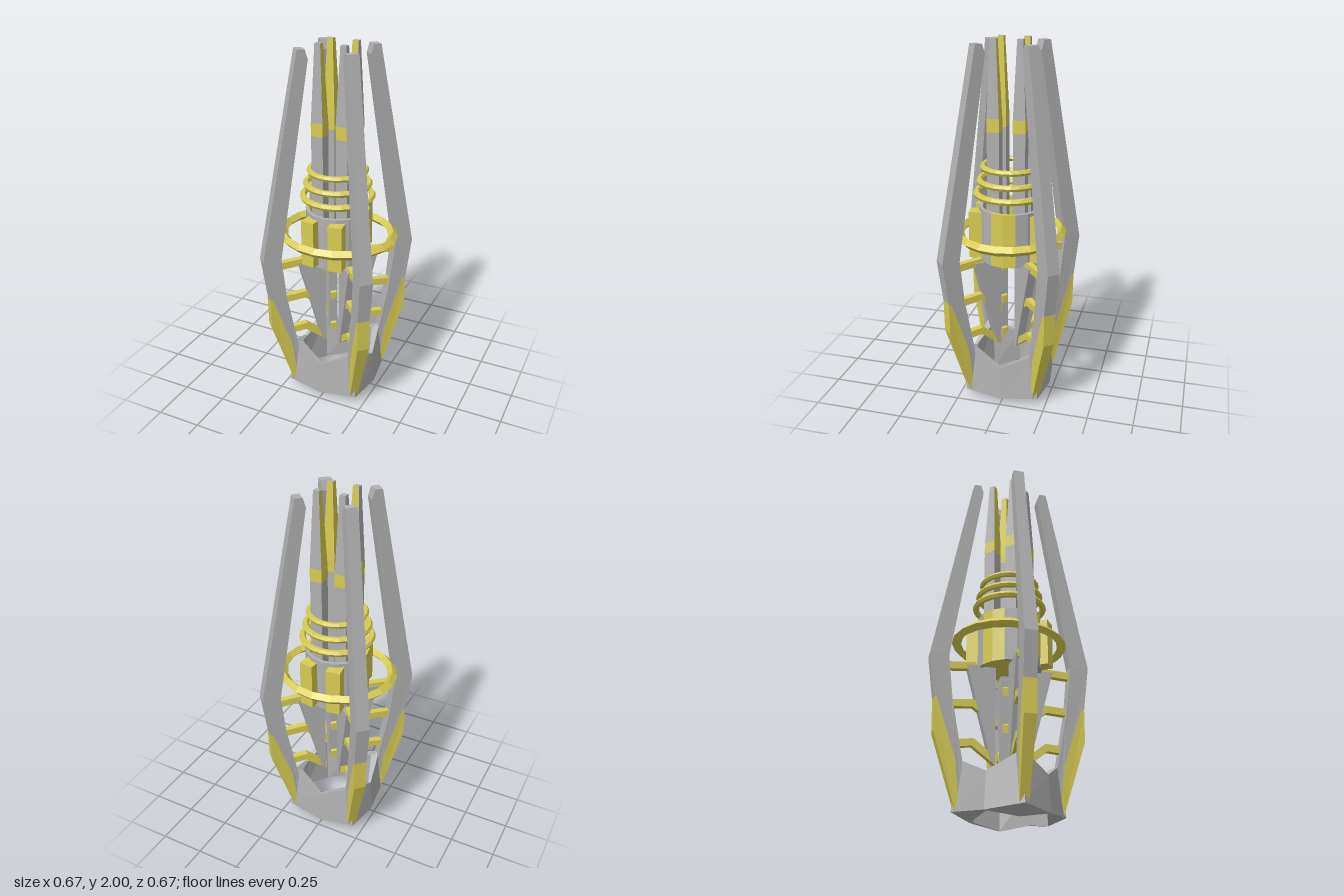
import * as THREE from 'three';

const grey = new THREE.MeshStandardMaterial({ color: 0xb0b0b0 });
grey.name = 'hull grey';
const yellow = new THREE.MeshStandardMaterial({ color: 0xd6cc52 });
yellow.name = 'trim yellow';

// Gives every face its own flat normal
function faceted(geometry) {
  const g = geometry.index ? geometry.toNonIndexed() : geometry;
  g.computeVertexNormals();
  return g;
}

function part(name, geometry, material, parent) {
  const mesh = new THREE.Mesh(faceted(geometry), material);
  mesh.name = name;
  parent.add(mesh);
  return mesh;
}

// Plate from a (radius, height) outline; its width may change with height
function plate(points, widthAt) {
  const shape = new THREE.Shape(points.map(([r, y]) => new THREE.Vector2(r, y)));
  const g = new THREE.ExtrudeGeometry(shape, { depth: 1, bevelEnabled: false });
  g.translate(0, 0, -0.5);
  const p = g.attributes.position;
  for (let i = 0; i < p.count; i++) p.setZ(i, p.getZ(i) * widthAt(p.getY(i)));
  return g;
}

function armWidth(y) {
  const l = THREE.MathUtils.mapLinear;
  if (y < 0.44) return l(y, 0.04, 0.44, 0.046, 0.066);
  if (y < 0.86) return l(y, 0.44, 0.86, 0.066, 0.072);
  return l(y, 0.86, 1.98, 0.072, 0.06);
}

// Eight-sided open collar; each ring is [mid radius, mid y, corner radius, corner y]
function collarGeometry() {
  const rings = [
    [0.235, 0.03, 0.295, 0.045],
    [0.222, 0.22, 0.265, 0.31],
    [0.205, 0.22, 0.215, 0.29],
    [0.212, 0.03, 0.2, 0.0],
  ];
  const pos = [], idx = [];
  for (const [mr, my, cr, cy] of rings) {
    for (let i = 0; i < 8; i++) {
      const a = i * Math.PI / 4, corner = i % 2 === 1;
      const r = corner ? cr : mr;
      pos.push(r * Math.sin(a), corner ? cy : my, r * Math.cos(a));
    }
  }
  for (let k = 0; k < 4; k++) {
    for (let i = 0; i < 8; i++) {
      const j = (i + 1) % 8, n = (k + 1) % 4;
      const a = k * 8 + i, b = k * 8 + j, c = n * 8 + j, d = n * 8 + i;
      idx.push(a, b, c, a, c, d);
    }
  }
  const g = new THREE.BufferGeometry();
  g.setAttribute('position', new THREE.Float32BufferAttribute(pos, 3));
  g.setIndex(idx);
  return g;
}

// Curved outer arm with its yellow lower guard
function addArm(quadrant) {
  const arm = new THREE.Group();
  arm.name = 'arm';
  quadrant.add(arm);
  const seam = [[0.39, 0.62], [0.285, 0.3], [0.255, 0.04]];
  part('armBeam', plate([
    [0.405, 0.62], [0.436, 0.86], [0.22, 1.98], [0.18, 1.98], [0.165, 1.93],
    [0.335, 0.86], [0.31, 0.62], [0.25, 0.3], [0.245, 0.04], ...[...seam].reverse(),
  ], armWidth), grey, arm);
  part('armGuard', plate([
    [0.405, 0.62], ...seam, [0.275, 0.04], [0.402, 0.44],
  ], armWidth), yellow, arm);
}

// Tapered lower fin and the three bent struts tying it to the arm
function addFin(quadrant) {
  part('lowerFin', plate([
    [0.08, 0.3], [0.1, 0.3], [0.235, 0.82], [0.08, 0.82],
  ], () => 0.05), grey, quadrant);
  [[0.72, 0.34], [0.51, 0.33], [0.3, 0.3]].forEach(([y, outer]) => {
    part('strut', plate([
      [0.07, y - 0.02], [0.2, y + 0.08], [outer, y + 0.07],
      [outer, y + 0.11], [0.19, y + 0.12], [0.07, y + 0.025],
    ], () => 0.035), yellow, quadrant);
  });
}

// Upright spire with a band and yellow inward faces on its tapered tip
function addSpire(parent) {
  const spire = new THREE.Group();
  spire.name = 'spire';
  parent.add(spire);
  const place = (mesh, y) => mesh.position.set(0.07, y, 0.07);
  place(part('spireShaft', new THREE.BoxGeometry(0.066, 0.65, 0.066), grey, spire), 1.205);
  place(part('spireBand', new THREE.BoxGeometry(0.067, 0.07, 0.067), yellow, spire), 1.565);
  const tip = new THREE.BoxGeometry(0.066, 0.4, 0.066);
  const p = tip.attributes.position;
  for (let i = 0; i < p.count; i++) {
    if (p.getY(i) > 0) p.setXYZ(i, p.getX(i) * 0.48, p.getY(i), p.getZ(i) * 0.48);
  }
  place(part('spireTip', tip, [grey, yellow, grey, grey, grey, yellow], spire), 1.8);
}

// Hollow sixteen-sided core with yellow panels at the sides and a cone inside
function addCore(model) {
  const core = new THREE.Group();
  core.name = 'core';
  model.add(core);
  const step = Math.PI / 8;
  for (let i = 0; i < 16; i++) {
    const a = i * step, b = a + step;
    const at = (r, t) => new THREE.Vector2(r * Math.cos(t), r * Math.sin(t));
    const shape = new THREE.Shape([at(0.175, a), at(0.175, b), at(0.155, b), at(0.155, a)]);
    const g = new THREE.ExtrudeGeometry(shape, { depth: 0.3, bevelEnabled: false });
    g.rotateX(-Math.PI / 2);
    const side = [0, 7, 8, 15].includes(i);
    part(side ? 'sidePanel' : 'coreWall', g, side ? yellow : grey, core).position.y = 0.81;
  }
  part('coreCone', new THREE.ConeGeometry(0.165, 0.13, 8), yellow, core).position.y = 0.88;
  for (const sz of [1, -1]) {
    for (const sx of [1, -1]) {
      const block = part('coreBlock', new THREE.BoxGeometry(0.078, 0.26, 0.075), yellow, core);
      block.position.set(sx * 0.075, 0.96, sz * 0.172);
      block.rotation.y = sx * sz * 0.14;
    }
  }
}

// Horizontal ring with a faceted section
function addRing(name, model, radius, tube, sides, segments, y, squash = 1) {
  const g = new THREE.TorusGeometry(radius, tube, sides, segments);
  g.rotateX(Math.PI / 2);
  g.scale(1, 1, squash);
  part(name, g, yellow, model).position.y = y;
}

export function createModel() {
  const model = new THREE.Group();
  model.name = 'spireStation';

  part('baseCollar', collarGeometry(), grey, model);

  for (let k = 0; k < 4; k++) {
    const quadrant = new THREE.Group();
    quadrant.name = 'armQuadrant';
    quadrant.rotation.y = Math.PI / 4 + k * Math.PI / 2;
    addArm(quadrant);
    addFin(quadrant);
    model.add(quadrant);

    const corner = new THREE.Group();
    corner.name = 'spireCorner';
    corner.rotation.y = k * Math.PI / 2;
    addSpire(corner);
    model.add(corner);
  }

  addCore(model);
  addRing('outerRing', model, 0.308, 0.027, 4, 20, 0.96, 0.905);
  addRing('upperRing', model, 0.151, 0.016, 6, 24, 1.33);
  addRing('middleRing', model, 0.17, 0.017, 6, 24, 1.255);
  addRing('lowerRing', model, 0.187, 0.018, 6, 24, 1.185);
  return model;
}
